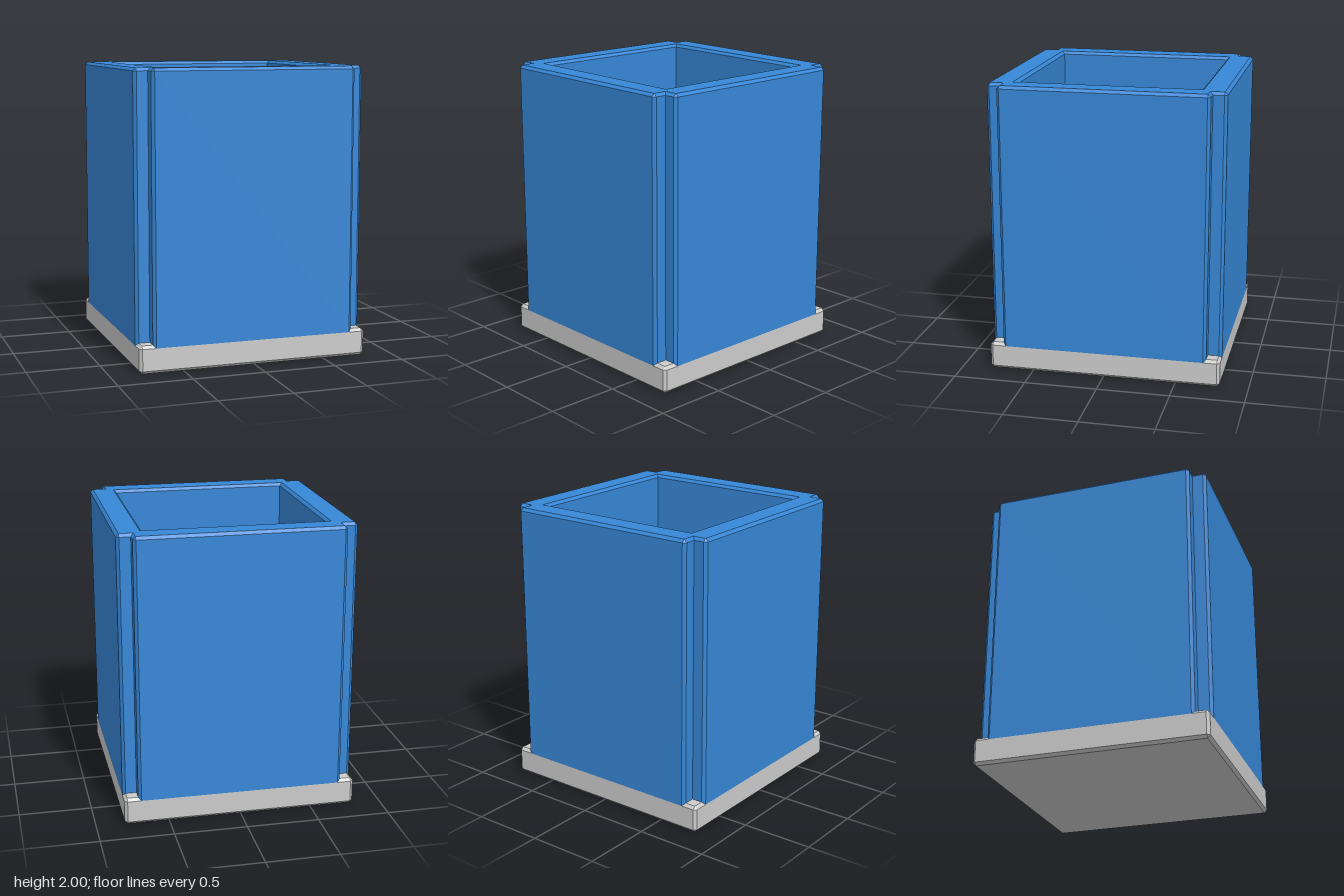
import * as THREE from 'three';

// Repeats one corner's [x, z] points around the four corners at height y.
function ring(y, corner) {
  const points = [];
  let pts = corner;
  for (let q = 0; q < 4; q++) {
    pts.forEach(([x, z]) => points.push(new THREE.Vector3(x, y, z)));
    pts = pts.map(([x, z]) => [-z, x]);
  }
  return points;
}

// Square ring with n coincident points per corner, to match its neighbours.
const square = (y, half, n) => ring(y, Array(n).fill([half, half]));

// Joins successive rings with flat faces, skipping collapsed triangles.
function loft(rings) {
  const positions = [];
  const tri = new THREE.Triangle();
  const add = (a, b, c) => {
    if (tri.set(a, b, c).getArea() < 1e-7) return;
    for (const p of [a, b, c]) positions.push(p.x, p.y, p.z);
  };
  for (let k = 0; k < rings.length - 1; k++) {
    const lo = rings[k], hi = rings[k + 1];
    for (let i = 0; i < lo.length; i++) {
      const j = (i + 1) % lo.length;
      add(lo[i], hi[i], hi[j]);
      add(lo[i], hi[j], lo[j]);
    }
  }
  const geometry = new THREE.BufferGeometry();
  geometry.setAttribute('position', new THREE.Float32BufferAttribute(positions, 3));
  geometry.computeVertexNormals();
  return geometry;
}

function part(name, geometry, color) {
  const mesh = new THREE.Mesh(geometry, new THREE.MeshStandardMaterial({ color, flatShading: true }));
  mesh.name = name;
  return mesh;
}

export function createModel() {
  const group = new THREE.Group();
  group.name = 'openBox';

  const outer = 0.805, inset = 0.785;   // outer faces and their bevelled edges
  const notch = 0.71, notchInset = 0.69; // corner notches
  const bottom = 0.17, top = 2, bevel = 0.02;

  // Base: slab with every edge bevelled
  const slab = [[outer, inset], [inset, outer]];
  group.add(part('base', loft([
    square(0, 0, 2),
    square(0, inset, 2),
    ring(bevel, slab),
    ring(bottom, slab),
    square(bottom + bevel, inset, 2),
    square(bottom + bevel, 0, 2),
  ]), 0xcccccc));

  // Walls: notched outside, bevelled rim, square opening down to the base
  const wall = [[outer, notchInset], [inset, notch], [notch, notch], [notch, inset], [notchInset, outer]];
  const rim = [[inset, notchInset], [inset, notchInset], [notchInset, notchInset], [notchInset, inset], [notchInset, inset]];
  group.add(part('walls', loft([
    ring(bottom, wall),
    ring(top - bevel, wall),
    ring(top, rim),
    square(top, 0.64, 5),
    square(top - bevel, 0.62, 5),
    square(bottom, 0.62, 5),
  ]), 0x3787d7));

  return group;
}
